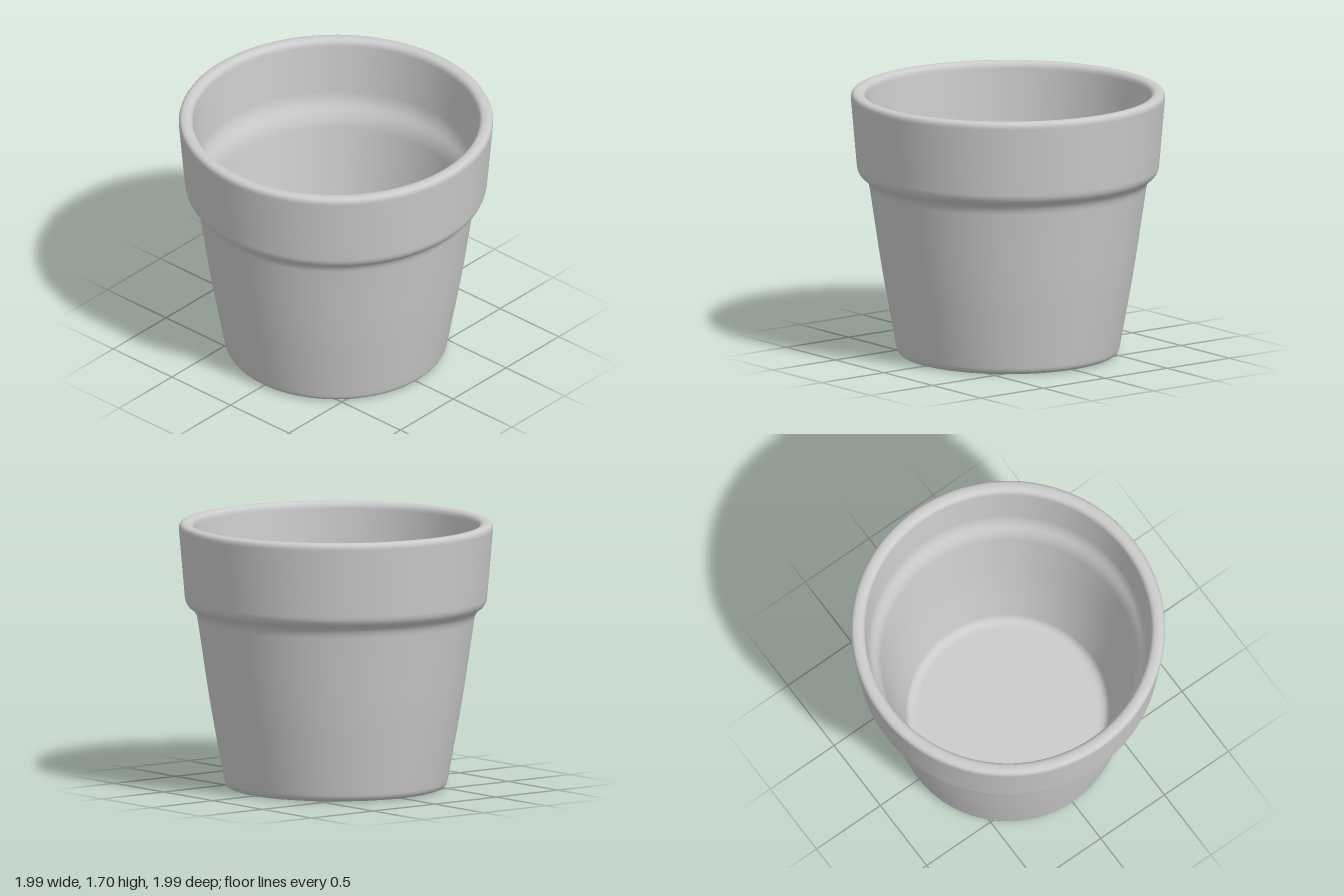
import * as THREE from 'three';

// Each corner: radius, height, rounding distance
const CORNERS = [
  // underside and outer wall
  [0.70, 0.01, 0.045], [0.735, 0.2, 0.12], [0.80, 0.56, 0.15], [0.885, 1.135, 0.05],
  // collar and rim
  [0.955, 1.185, 0.045], [1.0, 1.705, 0.045], [0.91, 1.705, 0.045],
  // inside of the collar, step, inner wall and floor
  [0.88, 1.28, 0.06], [0.815, 1.17, 0.06], [0.725, 0.56, 0.15], [0.635, 0.1, 0.06],
];

// Joins the corners with straight runs and rounds each one off
function roundedProfile(corners, start, end) {
  const pts = corners.map(([r, y]) => new THREE.Vector2(r, y));
  const all = [start, ...pts, end];
  const out = [start];
  corners.forEach(([, , round], i) => {
    const corner = all[i + 1];
    const toward = (p) => {
      const d = p.clone().sub(corner);
      return corner.clone().add(d.setLength(Math.min(round, d.length() * 0.45)));
    };
    const bend = new THREE.QuadraticBezierCurve(toward(all[i]), corner, toward(all[i + 2]));
    out.push(...bend.getPoints(6));
  });
  out.push(end);
  return out;
}

export function createModel() {
  const group = new THREE.Group();
  group.name = 'flowerPot';
  const clay = new THREE.MeshStandardMaterial({ color: 0xcccccc });

  // One closed turned shell, from the centre of the underside to the centre of the floor
  const profile = roundedProfile(CORNERS, new THREE.Vector2(0, 0.01), new THREE.Vector2(0, 0.1));
  const geometry = new THREE.LatheGeometry(profile, 96);
  geometry.translate(0, -0.01, 0);
  const pot = new THREE.Mesh(geometry, clay);
  pot.name = 'pot';
  group.add(pot);
  return group;
}
